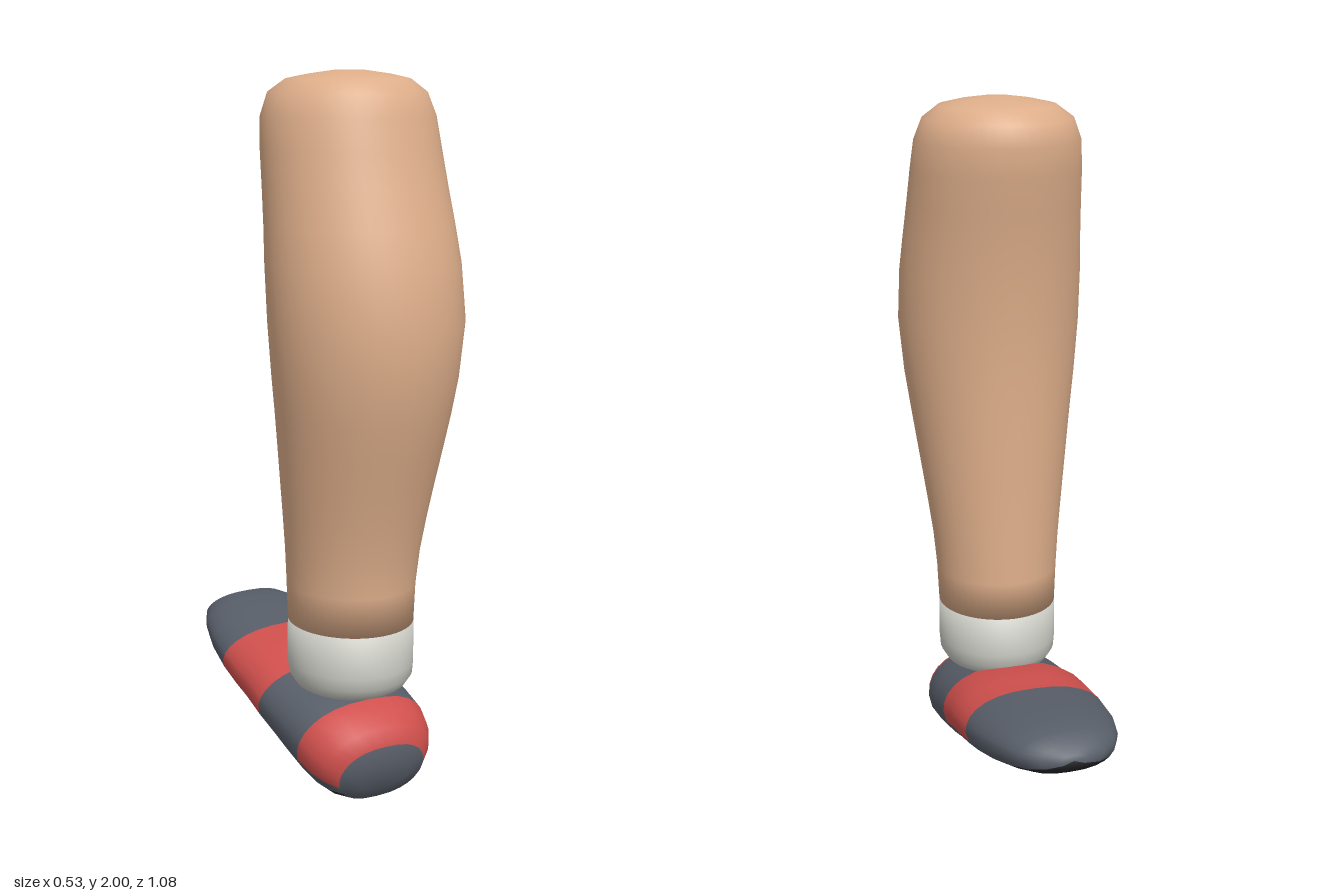
import * as THREE from 'three';

const mat = (name, color, more = {}) => {
  const m = new THREE.MeshStandardMaterial({ color, ...more });
  m.name = name;
  return m;
};

// Skin a series of equal closed rings, capping both ends.
// pick(ring, point) gives the material index of each quad.
function loft(rings, materials, name, pick = () => 0) {
  const n = rings[0].length, last = rings.length - 1;
  const pts = rings.flat();
  const lists = materials.map(() => []);
  const centre = (r) => r.reduce((s, p) => s.add(p), new THREE.Vector3()).divideScalar(n);
  pts.push(centre(rings[0]), centre(rings[last]));
  const c0 = pts.length - 2, c1 = pts.length - 1;
  for (let j = 0; j < n; j++) {
    const k = (j + 1) % n;
    lists[pick(0, j)].push(c0, k, j);
    for (let i = 0; i < last; i++) {
      const a = i * n + j, b = i * n + k;
      lists[pick(i, j)].push(a, b, a + n, b, b + n, a + n);
    }
    lists[pick(last, j)].push(c1, last * n + j, last * n + k);
  }
  const geo = new THREE.BufferGeometry().setFromPoints(pts);
  geo.setIndex(lists.flat());
  let start = 0;
  lists.forEach((l, m) => {
    geo.addGroup(start, l.length, m);
    start += l.length;
  });
  geo.computeVertexNormals();
  const mesh = new THREE.Mesh(geo, materials.length > 1 ? materials : materials[0]);
  mesh.name = name;
  return mesh;
}

// Horizontal ellipse: height, half width, front z, back z
const legRing = ([y, rx, zf, zb]) => Array.from({ length: 48 }, (_, j) => {
  const t = (j / 48) * Math.PI * 2;
  return new THREE.Vector3(rx * Math.cos(t), y, (zf + zb) / 2 - ((zf - zb) / 2) * Math.sin(t));
});

// Shoe section angles: 54.5 is the sole line, 73 the lower edge of the red panels
const half = [0, 14, 28, 42, 54.5, 73, 90, 103, 116, 129, 142, 155, 168, 180];
const angles = [...half, ...half.slice(1, -1).reverse().map((a) => 360 - a)];

// Upright shoe section: distance from heel, bottom, top, half width
const shoeRing = ([s, lo, hi, w]) => angles.map((deg) => {
  const a = THREE.MathUtils.degToRad(deg), sn = Math.sin(a);
  const x = deg % 180 === 0 ? 0 : -Math.sign(sn) * w * Math.abs(sn) ** 0.8;
  return new THREE.Vector3(x, lo + (hi - lo) * (1 - Math.cos(a)) / 2, -s);
});

export function createModel() {
  const skin = mat('skin', 0xdeae8a);
  const sockGrey = mat('sock grey', 0xcacac3);
  const shoeGrey = mat('shoe grey', 0x585e69);
  const red = mat('panel red', 0xd0504d);
  const black = mat('sole black', 0x222226);
  const model = new THREE.Group();
  model.name = 'lowerLeg';

  // Calf up to the rounded knee end
  model.add(loft([
    [0.49, 0.175, 0.385, 0.015], [0.6, 0.18, 0.387, 0.016], [0.7, 0.188, 0.4, 0.018],
    [0.8, 0.2, 0.422, 0.02], [0.9, 0.213, 0.448, 0.021], [1.0, 0.226, 0.477, 0.021],
    [1.1, 0.239, 0.504, 0.021], [1.2, 0.252, 0.525, 0.02], [1.35, 0.265, 0.54, 0.015],
    [1.5, 0.263, 0.515, 0.0], [1.6, 0.256, 0.486, -0.012], [1.7, 0.249, 0.453, -0.028],
    [1.8, 0.243, 0.423, -0.046], [1.88, 0.235, 0.403, -0.055], [1.94, 0.212, 0.382, -0.044],
    [1.975, 0.165, 0.34, 0.005], [1.987, 0.11, 0.29, 0.07], [1.997, 0.04, 0.22, 0.14],
  ].map(legRing), [skin], 'calf'));

  // Sock with a rounded lower rim
  model.add(loft([
    [0.285, 0.1, 0.3, 0.1], [0.29, 0.13, 0.333, 0.067], [0.305, 0.155, 0.362, 0.038],
    [0.335, 0.173, 0.383, 0.017], [0.37, 0.176, 0.386, 0.014], [0.49, 0.175, 0.385, 0.015],
  ].map(legRing), [sockGrey], 'sock'));

  // Shoe: red heel panel and instep band on a grey upper, black sole
  const stations = [
    [-0.037, 0.06, 0.14, 0.075], [-0.022, 0.018, 0.195, 0.135], [0.01, 0.004, 0.232, 0.168],
    [0.05, 0, 0.25, 0.19], [0.11, 0, 0.259, 0.204], [0.2, 0, 0.25, 0.21],
    [0.338, 0, 0.232, 0.214], [0.42, 0, 0.233, 0.215], [0.5, 0, 0.213, 0.215],
    [0.588, 0, 0.194, 0.212], [0.7, 0, 0.17, 0.198], [0.8, 0.002, 0.147, 0.172],
    [0.87, 0.006, 0.122, 0.138], [0.905, 0.015, 0.09, 0.09], [0.92, 0.03, 0.06, 0.035],
  ];
  const shoe = loft(stations.map(shoeRing), [shoeGrey, red, black], 'shoe', (i, j) => {
    const level = Math.min(j, angles.length - 1 - j);
    const s = stations[i][0];
    if (i === 0) return 0;
    if (level < 4) return 2;
    if (level < 5) return 0;
    return s < 0.11 || (s >= 0.338 && s < 0.588) ? 1 : 0;
  });
  shoe.rotation.x = THREE.MathUtils.degToRad(17);
  shoe.position.set(0, -0.005, 0.33);
  model.add(shoe);

  return model;
}
